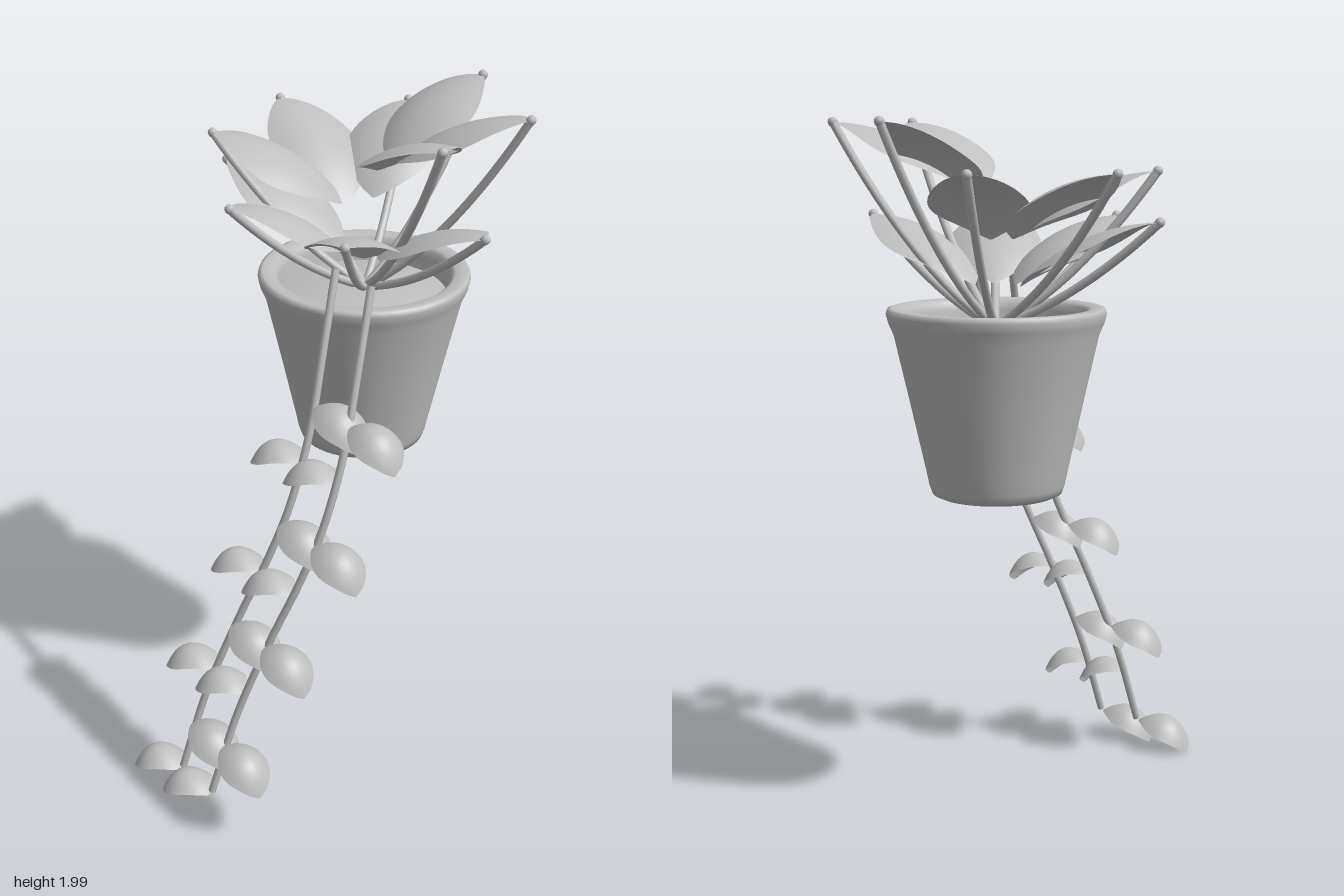
import * as THREE from 'three';

const V = (x, y, z) => new THREE.Vector3(x, y, z);
const clay = new THREE.MeshStandardMaterial({ color: 0xbfbfbf, side: THREE.DoubleSide });
clay.name = 'light grey';

function add(parent, name, geometry) {
  const mesh = new THREE.Mesh(geometry, clay);
  mesh.name = name;
  parent.add(mesh);
  return mesh;
}

// Cupped, arched leaf blade running from base to tip
function leafGeometry(base, tip, width, arch, droop, power) {
  const geo = new THREE.PlaneGeometry(1, 1, 10, 16);
  const dir = tip.clone().sub(base);
  const side = V(0, 1, 0).cross(dir).normalize();
  const up = dir.clone().cross(side).normalize();
  const pos = geo.attributes.position;
  for (let i = 0; i < pos.count; i++) {
    const v = pos.getX(i) * 2;
    const u = pos.getY(i) + 0.5;
    const w = 0.03 + 0.97 * Math.pow(Math.max(0, Math.sin(Math.PI * u)), power);
    const p = base.clone().addScaledVector(dir, u)
      .addScaledVector(side, v * w * width / 2)
      .addScaledVector(up, arch * 4 * u * (1 - u) - droop * v * v * w * w);
    pos.setXYZ(i, p.x, p.y, p.z);
  }
  geo.computeVertexNormals();
  return geo;
}

export function createModel() {
  const model = new THREE.Group();
  model.name = 'pottedPlant';

  // Pot with a rounded rim and a hollow top
  const profile = [
    [0, 0.96], [0.165, 0.96], [0.182, 0.968], [0.19, 0.99], [0.198, 1.03], [0.24, 1.22],
    [0.283, 1.41], [0.298, 1.445], [0.304, 1.47], [0.3, 1.483], [0.29, 1.486],
    [0.262, 1.484], [0.25, 1.475], [0.244, 1.455], [0.236, 1.38],
  ].map(([r, y]) => new THREE.Vector2(r, y));
  add(model, 'pot', new THREE.LatheGeometry(profile, 48)).position.set(-0.04, 0, -0.205);

  // Slightly mounded soil
  const mound = [[0.24, 1.41], [0.16, 1.425], [0.08, 1.434], [0, 1.437]]
    .map(([r, y]) => new THREE.Vector2(r, y));
  add(model, 'soil', new THREE.LatheGeometry(mound, 40)).position.set(-0.04, 0, -0.205);

  // Rosette: each stem rises from the middle to the outer end of its leaf
  const root = V(-0.04, 1.43, -0.21);
  const tips = [
    [0, 1.985, -0.6], [0.37, 1.985, -0.42], [0.41, 1.985, -0.07],
    [-0.515, 1.855, -0.275], [-0.385, 1.855, 0.065], [-0.265, 1.855, -0.56],
    [0.435, 1.725, -0.21], [0.25, 1.725, 0.11], [-0.155, 1.725, 0.18], [-0.48, 1.725, -0.05],
  ];
  const rosette = new THREE.Group();
  rosette.name = 'rosette';
  model.add(rosette);
  for (const t of tips) {
    const tip = V(...t);
    const base = root.clone().lerp(tip, 0.16);
    base.y = tip.y - 0.18;
    add(rosette, 'rosetteLeaf', leafGeometry(base, tip, 0.27, 0.045, 0.04, 0.8));
    const bend = root.clone().lerp(tip, 0.5);
    bend.y = root.y + (tip.y - root.y) * 0.27;
    const path = new THREE.QuadraticBezierCurve3(root, bend, tip);
    add(rosette, 'rosetteStem', new THREE.TubeGeometry(path, 12, 0.012, 8));
    add(rosette, 'stemEnd', new THREE.SphereGeometry(0.014, 8, 6)).position.copy(tip);
  }

  // Two trailing vines with leaves alternating right and left
  const trail = [
    [0.105, 1.595, 0.02], [0.15, 1.39, 0.1], [0.185, 1.18, 0.175], [0.183, 0.97, 0.245],
    [0.15, 0.8, 0.3], [0.095, 0.6, 0.365], [0.04, 0.35, 0.445], [0.015, 0.09, 0.525],
  ];
  const attachX = [0.19, 0.18, 0.175, 0.13, 0.09, 0.045, 0.03, 0.015];
  for (const shift of [0, 0.147]) {
    const vine = new THREE.Group();
    vine.name = 'vine';
    vine.position.x = shift;
    model.add(vine);
    const path = new THREE.CatmullRomCurve3(trail.map((p) => V(...p)));
    add(vine, 'vineStem', new THREE.TubeGeometry(path, 40, 0.011, 8));
    attachX.forEach((x, i) => {
      const s = i % 2 ? -1 : 1;
      const y = 1.257 - i * 0.168;
      const z = 0.148 + i * 0.056;
      const geo = leafGeometry(V(x, y, z), V(x + s * 0.18, y - 0.072, z + 0.01), 0.148, 0.07, 0.048, 0.65);
      add(vine, 'vineLeaf', geo);
    });
  }
  return model;
}
